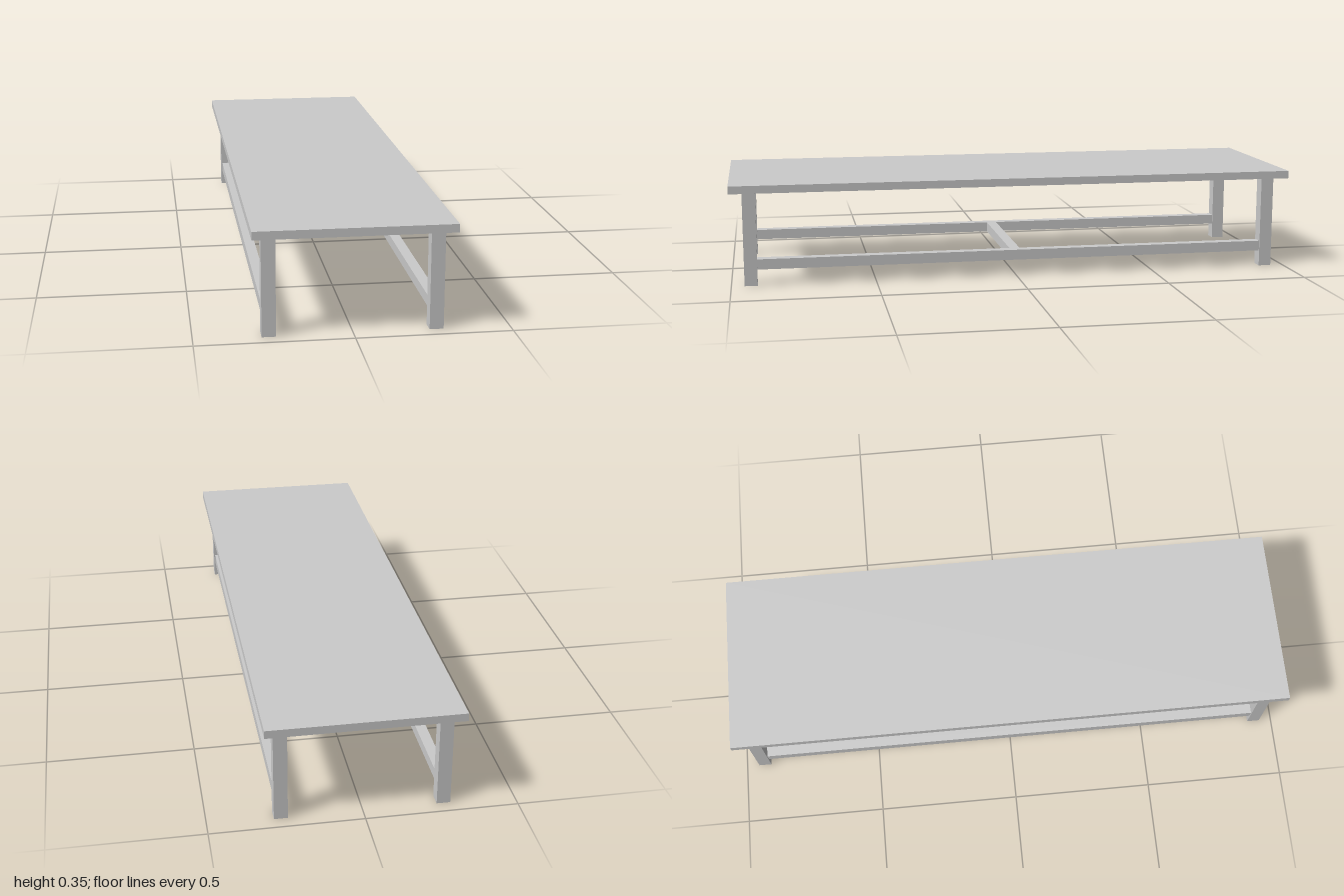
import * as THREE from 'three';

export function createModel() {
  const model = new THREE.Group();
  model.name = 'table';
  const material = new THREE.MeshStandardMaterial({ color: 0xcccccc });

  // Adds a box whose underside sits at height y
  function addBox(name, [w, h, d], x, y, z) {
    const mesh = new THREE.Mesh(new THREE.BoxGeometry(w, h, d), material);
    mesh.name = name;
    mesh.position.set(x, y + h / 2, z);
    model.add(mesh);
  }

  const height = 0.355, topThickness = 0.027;
  const legSize = 0.045, legX = 0.2645, legZ = 0.9325;
  const railSize = 0.036, railY = 0.056;
  const legHeight = height - topThickness;

  // Table top
  addBox('tableTop', [0.637, topThickness, 2], 0, legHeight, 0);

  for (const side of [1, -1]) {
    const label = side > 0 ? 'left' : 'right';

    // Legs at both ends
    for (const end of [1, -1]) {
      addBox(`${label}${end > 0 ? 'Front' : 'Back'}Leg`,
        [legSize, legHeight, legSize], side * legX, 0, end * legZ);
    }

    // Long stretcher running between the legs
    addBox(`${label}Stretcher`,
      [railSize, railSize, 2 * legZ - legSize], side * legX, railY, 0);
  }

  // Cross stretcher joining the two long ones at mid length
  addBox('crossStretcher', [2 * legX - railSize, railSize, railSize], 0, railY, 0);

  return model;
}
